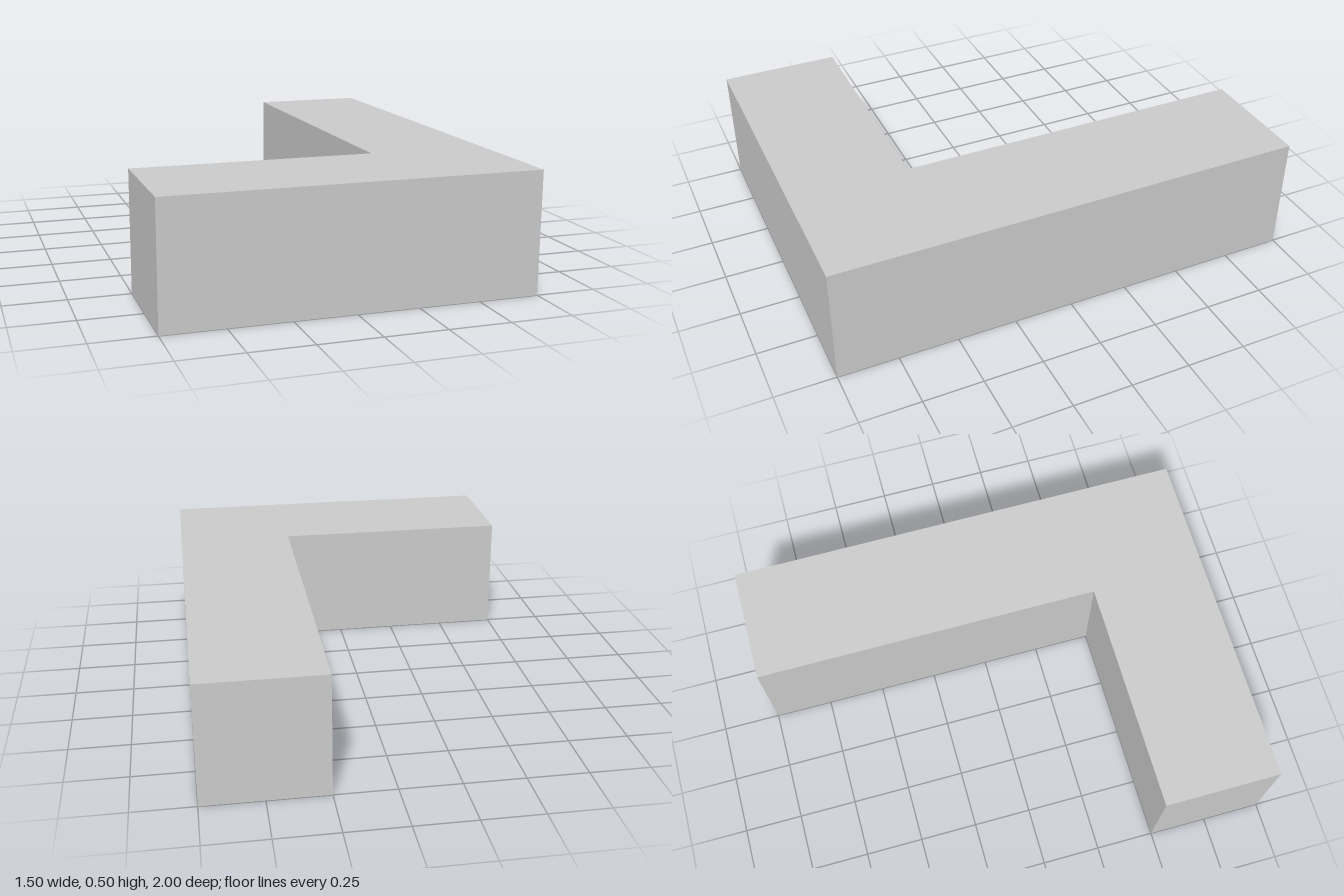
import * as THREE from 'three';

const HEIGHT = 0.5;

// L-shaped footprint as [x, z], anticlockwise seen from above
const OUTLINE = [
  [-0.75, 1], [0.75, 1], [0.75, -1], [0.25, -1], [0.25, 0.5], [-0.75, 0.5],
];

export function createModel() {
  const group = new THREE.Group();
  group.name = 'cornerBlock';
  const material = new THREE.MeshStandardMaterial({
    color: 0xcccccc, flatShading: true, side: THREE.DoubleSide,
  });

  // Flat top; the underside is left open
  const shape = new THREE.Shape(OUTLINE.map(([x, z]) => new THREE.Vector2(x, -z)));
  const top = new THREE.Mesh(new THREE.ShapeGeometry(shape).rotateX(-Math.PI / 2), material);
  top.name = 'top';
  top.position.y = HEIGHT;
  group.add(top);

  // One outward-facing wall per footprint edge
  const names = ['frontWall', 'leftWall', 'backEnd', 'innerSideWall', 'innerBackWall', 'rightEnd'];
  OUTLINE.forEach(([x0, z0], i) => {
    const [x1, z1] = OUTLINE[(i + 1) % OUTLINE.length];
    const dx = x1 - x0, dz = z1 - z0;
    const wall = new THREE.Mesh(new THREE.PlaneGeometry(Math.hypot(dx, dz), HEIGHT), material);
    wall.name = names[i];
    wall.position.set((x0 + x1) / 2, HEIGHT / 2, (z0 + z1) / 2);
    wall.rotation.y = Math.atan2(-dz, dx);
    group.add(wall);
  });

  return group;
}
